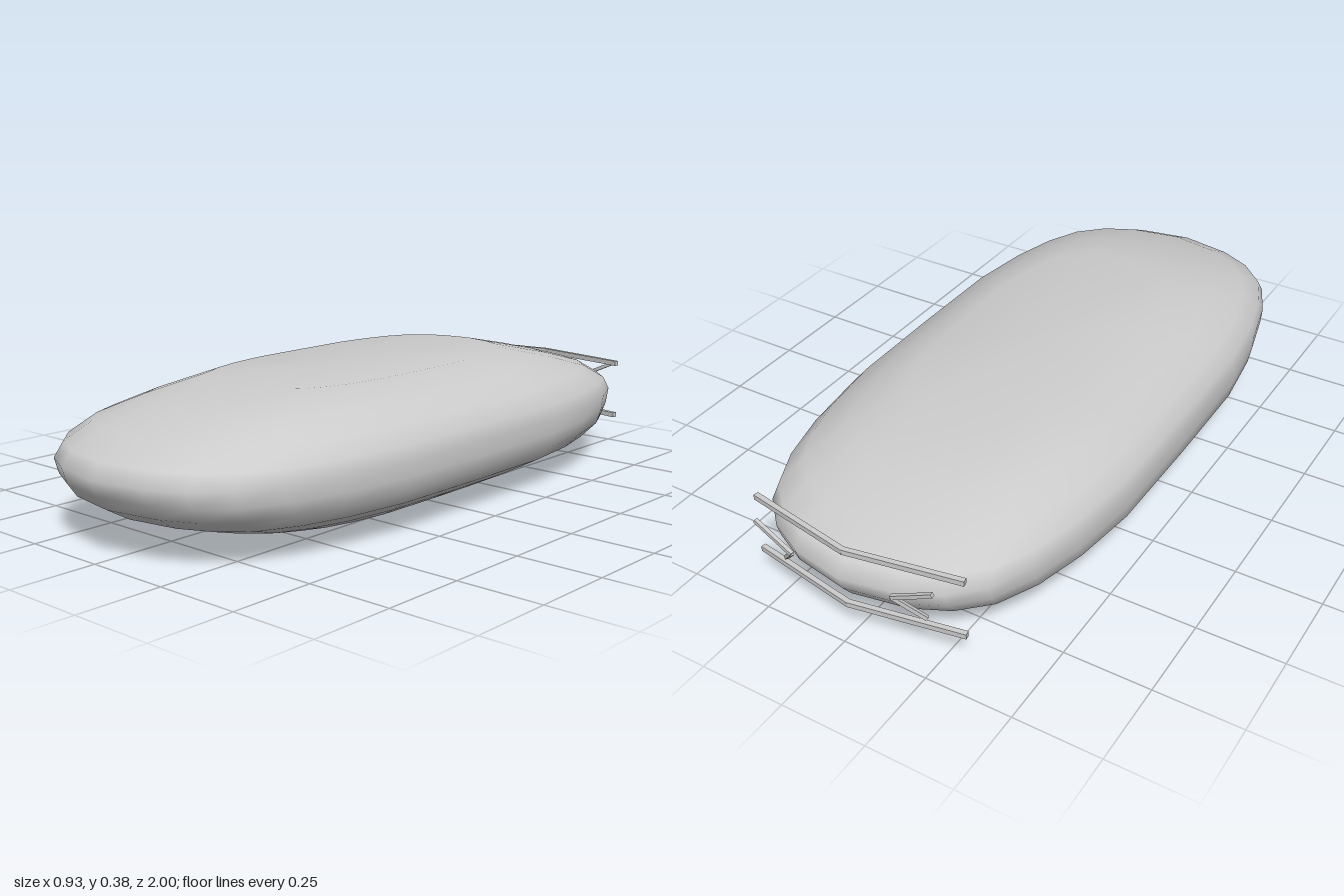
import * as THREE from 'three';

const material = new THREE.MeshStandardMaterial({ color: 0xcccccc });

// One quadrant of the plan outline as [x, z], from the side to the tip
const QUADRANT = [
  [0.465, 0], [0.462, 0.35], [0.435, 0.56], [0.395, 0.72],
  [0.34, 0.84], [0.26, 0.92], [0.16, 0.97], [0, 1],
];

// Horizontal levels of the body: [y, half width, half length]
const LEVELS = [
  [0, 0.26, 0.55], [0.045, 0.35, 0.74], [0.09, 0.43, 0.885], [0.13, 0.46, 0.955],
  [0.17, 0.464, 0.985], [0.215, 0.465, 1], [0.255, 0.456, 0.97], [0.3, 0.42, 0.88],
  [0.34, 0.35, 0.73], [0.385, 0.25, 0.52],
];

// Mirror the quadrant into a closed loop running +x, +z, -x, -z
function fullOutline() {
  const back = [...QUADRANT].reverse();
  return [
    ...QUADRANT.slice(0, -1),
    ...back.slice(0, -1).map(([x, z]) => [-x, z]),
    ...QUADRANT.slice(0, -1).map(([x, z]) => [-x, -z]),
    ...back.slice(0, -1).map(([x, z]) => [x, -z]),
  ];
}

// Smooth shell lofted through the scaled outlines, closed at both ends
function bodyGeometry() {
  const loop = fullOutline();
  const n = loop.length;
  const positions = [];
  const index = [];
  for (const [y, w, l] of LEVELS) {
    for (const [x, z] of loop) positions.push((x * w) / 0.465, y, z * l);
  }
  for (let r = 0; r < LEVELS.length - 1; r++) {
    for (let i = 0; i < n; i++) {
      const a = r * n + i;
      const b = r * n + ((i + 1) % n);
      index.push(a, a + n, b, b, a + n, b + n);
    }
  }
  const bottom = positions.length / 3;
  const top = bottom + 1;
  const last = (LEVELS.length - 1) * n;
  positions.push(0, 0, 0, 0, LEVELS.at(-1)[0], 0);
  for (let i = 0; i < n; i++) {
    const j = (i + 1) % n;
    index.push(bottom, i, j, top, last + j, last + i);
  }
  const geometry = new THREE.BufferGeometry();
  geometry.setAttribute('position', new THREE.Float32BufferAttribute(positions, 3));
  geometry.setIndex(index);
  geometry.computeVertexNormals();
  return geometry;
}

// Thin square rods joined along a path
function rodPath(name, points, thickness) {
  const group = new THREE.Group();
  group.name = name;
  for (let i = 0; i < points.length - 1; i++) {
    const a = new THREE.Vector3(...points[i]);
    const b = new THREE.Vector3(...points[i + 1]);
    const rod = new THREE.Mesh(
      new THREE.BoxGeometry(thickness, thickness, a.distanceTo(b) + thickness * 0.3),
      material,
    );
    rod.name = name + 'Segment';
    rod.position.copy(a).lerp(b, 0.5);
    rod.lookAt(b);
    group.add(rod);
  }
  return group;
}

export function createModel() {
  const model = new THREE.Group();
  model.name = 'pod';

  const body = new THREE.Mesh(bodyGeometry(), material);
  body.name = 'body';
  model.add(body);

  // Upper and lower bent bars across the rear
  for (const [name, y] of [['upperRearBar', 0.284], ['lowerRearBar', 0.11]]) {
    model.add(rodPath(name, [[-0.32, y, -0.915], [0, y, -0.972], [0.32, y, -0.915]], 0.015));
  }

  // Mirrored chevrons between the bars
  for (const [name, s] of [['leftRearChevron', 1], ['rightRearChevron', -1]]) {
    model.add(rodPath(name, [
      [s * 0.27, 0.27, -0.98], [s * 0.155, 0.217, -0.988], [s * 0.22, 0.14, -0.94],
    ], 0.011));
  }
  return model;
}
